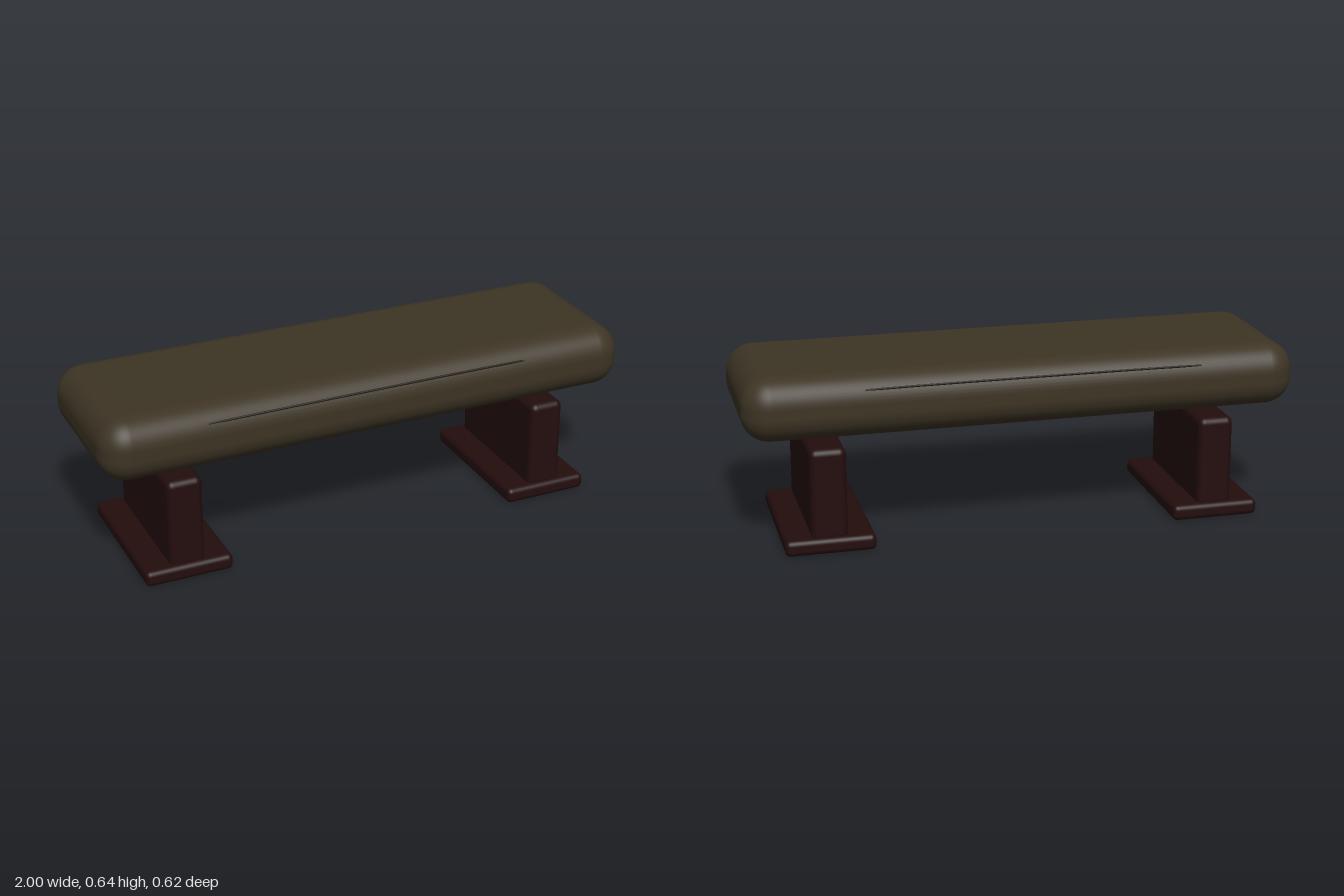
import * as THREE from 'three';
import { RoundedBoxGeometry } from 'three/addons/geometries/RoundedBoxGeometry.js';

export function createModel() {
  const group = new THREE.Group();
  const upholstery = new THREE.MeshStandardMaterial({ color: 0x3d3424 });
  upholstery.name = 'olive upholstery';
  const wood = new THREE.MeshStandardMaterial({ color: 0x240d0d });
  wood.name = 'dark wood';
  const thread = new THREE.MeshStandardMaterial({ color: 0x1e1a12 });
  thread.name = 'dark seam';

  // Rounded block given by its size, corner radius and the height of its underside
  function block(name, material, [w, h, d], radius, x, bottom, segments = 5) {
    const mesh = new THREE.Mesh(new RoundedBoxGeometry(w, h, d, segments, radius), material);
    mesh.name = name;
    mesh.position.set(x, bottom + h / 2, 0);
    group.add(mesh);
  }

  // Padded seat, floating just above the pedestals
  block('seat', upholstery, [2, 0.231, 0.62], 0.1, 0, 0.412, 8);

  // Pedestal and foot plate at each end
  for (const [side, x] of [['left', 0.71], ['right', -0.71]]) {
    block(side + 'Pedestal', wood, [0.13, 0.338, 0.53], 0.025, x, 0.04);
    block(side + 'Foot', wood, [0.322, 0.058, 0.57], 0.02, x, 0);
  }

  // Fine seams along the front and back, sinking into the cushion at their ends
  for (const [name, s] of [['frontSeam', 1], ['backSeam', -1]]) {
    const path = new THREE.CatmullRomCurve3([
      new THREE.Vector3(-0.63, 0.592, s * 0.294),
      new THREE.Vector3(-0.4, 0.595, s * 0.297),
      new THREE.Vector3(0.4, 0.595, s * 0.297),
      new THREE.Vector3(0.58, 0.592, s * 0.294),
    ]);
    const seam = new THREE.Mesh(new THREE.TubeGeometry(path, 24, 0.004, 8), thread);
    seam.name = name;
    group.add(seam);
  }
  return group;
}
